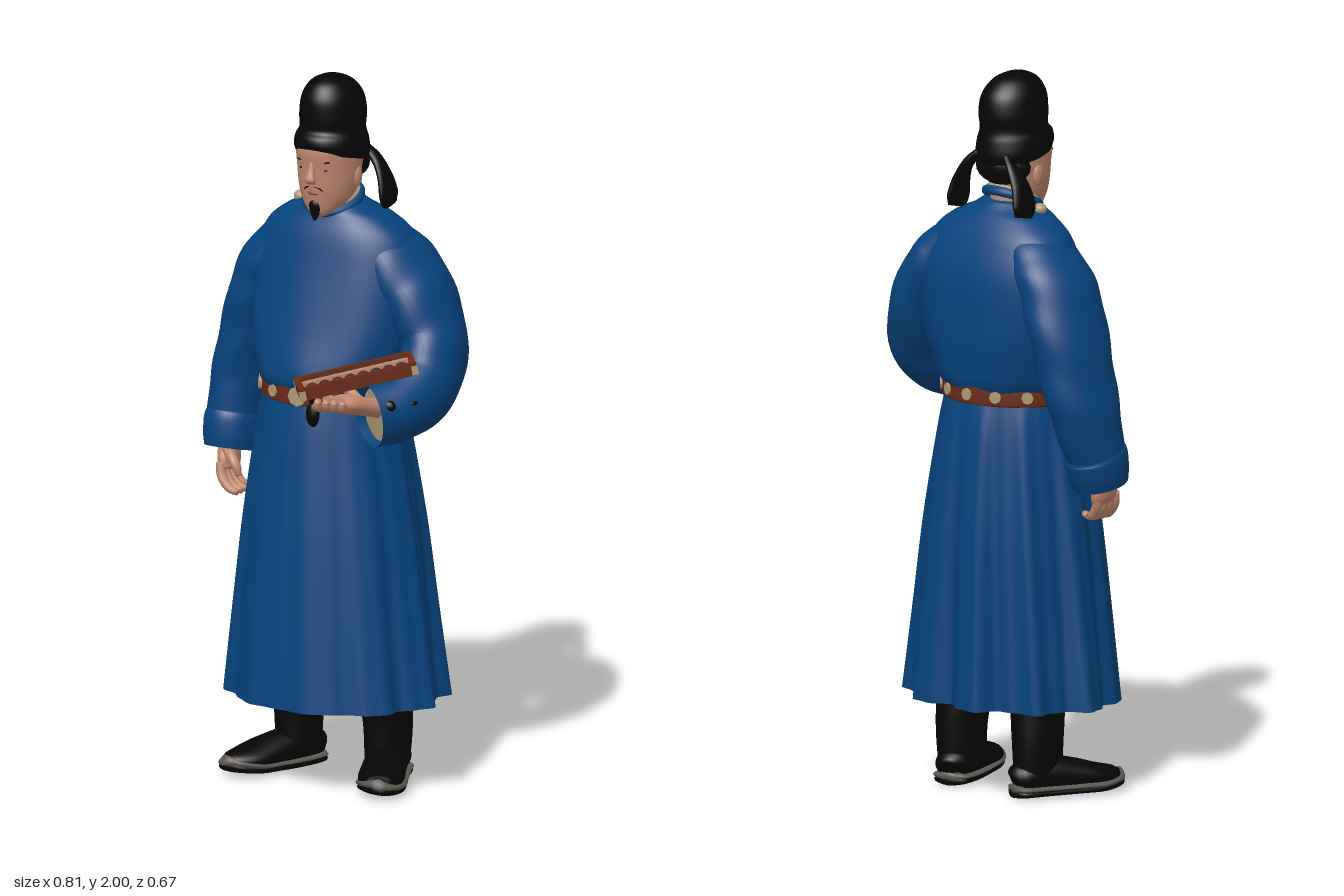
import * as THREE from 'three';

const V = (x, y, z) => new THREE.Vector3(x, y, z);
const UP = V(0, 1, 0);
const DOWN = V(0, -1, 0);
const mat = (name, color, side = THREE.FrontSide) => {
  const m = new THREE.MeshStandardMaterial({ color, side });
  m.name = name;
  return m;
};

// Smooth skin through stations [x, y, z, radiusU, radiusV]; U follows the x axis.
// dir fixes the ring normal, swell(angle, t) scales each ring point.
function loft(stations, { n = 28, steps = 24, dir = null, caps = true, swell = () => 1 } = {}) {
  const path = new THREE.CatmullRomCurve3(stations.map(s => V(s[0], s[1], s[2])), false, 'catmullrom');
  const size = new THREE.CatmullRomCurve3(stations.map(s => V(s[3], s[4], 0)), false, 'catmullrom');
  const pos = [], index = [];
  for (let i = 0; i <= steps; i++) {
    const t = i / steps, c = path.getPoint(t), r = size.getPoint(t);
    const T = dir ? dir.clone() : path.getTangent(t);
    const U = V(1, 0, 0).addScaledVector(T, -T.x).normalize();
    const W = T.clone().cross(U);
    for (let j = 0; j < n; j++) {
      const a = (j / n) * Math.PI * 2, k = swell(a, t);
      const p = c.clone().addScaledVector(U, Math.cos(a) * r.x * k).addScaledVector(W, Math.sin(a) * r.y * k);
      pos.push(p.x, p.y, p.z);
      if (i < steps) {
        const q = i * n + j, s = i * n + (j + 1) % n;
        index.push(q, s, q + n, s, s + n, q + n);
      }
    }
  }
  if (caps) {
    const a = path.getPoint(0), b = path.getPoint(1), base = pos.length / 3, last = steps * n;
    pos.push(a.x, a.y, a.z, b.x, b.y, b.z);
    for (let j = 0; j < n; j++) {
      const k = (j + 1) % n;
      index.push(base, k, j, base + 1, last + j, last + k);
    }
  }
  const g = new THREE.BufferGeometry();
  g.setAttribute('position', new THREE.Float32BufferAttribute(pos, 3));
  g.setIndex(index);
  g.computeVertexNormals();
  return g;
}

const mirror = st => st.map(([x, ...r]) => [-x, ...r]);

export function createModel() {
  const model = new THREE.Group();
  const robe = mat('blue cloth', 0x06437c, THREE.DoubleSide);
  const black = mat('black cloth and hair', 0x050505);
  const skin = mat('skin', 0xc0886e);
  const lip = mat('lips', 0x8e4f42);
  const leather = mat('red brown', 0x6a2a19);
  const brass = mat('pale brass', 0xb09a74);
  const grey = mat('sole grey', 0x5c564e);
  const bead = mat('dark beads', 0x3a322b);
  const wood = mat('light wood', 0xc4866a);

  const add = (name, geo, m, parent = model) => {
    const mesh = new THREE.Mesh(geo, m);
    mesh.name = name;
    parent.add(mesh);
    return mesh;
  };
  const ball = (name, m, x, y, z, sx, sy, sz, parent = model) => {
    const b = add(name, new THREE.SphereGeometry(1, 16, 12), m, parent);
    b.position.set(x, y, z);
    b.scale.set(sx, sy, sz);
    return b;
  };
  const box = (name, m, x, y, z, w, h, d, parent = model) => {
    const b = add(name, new THREE.BoxGeometry(w, h, d), m, parent);
    b.position.set(x, y, z);
    return b;
  };

  // Robe: bodice with a broad squarish back, and pleated skirt
  const bodice = (a, t) => 1 + .012 * (1 - t) * Math.cos(9 * a + 5 * t)
    + .08 * Math.sin(Math.PI * t) * Math.sin(2 * a) ** 2 * (Math.sin(a) > 0 ? 1 : .3);
  add('robeBody', loft([
    [0, 1.12, -.085, .192, .178], [0, 1.155, -.085, .21, .192], [0, 1.2, -.09, .222, .192], [0, 1.3, -.108, .25, .18],
    [0, 1.45, -.125, .255, .157], [0, 1.55, -.122, .222, .128], [0, 1.605, -.115, .16, .1],
    [0, 1.63, -.107, .105, .085], [0, 1.648, -.103, .078, .074]
  ], { n: 48, steps: 48, dir: UP, swell: bodice }), robe);
  const pleat = a => (.68 + .42 * Math.sin(a)) * (Math.cos(10 * a + .97) + .35 * Math.cos(23 * a + 1));
  const skirt = (a, t) => 1 + Math.pow(1 - t, .8) * (.08 * pleat(a) + .04 * Math.max(0, -Math.sin(a)) ** 4);
  add('robeSkirt', loft([
    [.015, .25, -.068, .312, .248], [.01, .5, -.073, .282, .236], [.005, .75, -.08, .252, .222],
    [0, 1, -.085, .213, .198], [0, 1.13, -.085, .192, .176]
  ], { n: 176, steps: 30, dir: UP, caps: false, swell: skirt }), robe);

  // Sleeves
  const wrinkle = (a, t) => 1 + .025 * Math.sin(34 * t + 2.5 * Math.cos(a)) * Math.sin(Math.PI * Math.min(1, t * 1.1));
  const sleeve = { n: 36, steps: 48, caps: false, swell: wrinkle };
  const upper = [[.1, 1.55, -.13, .055, .09], [.17, 1.49, -.135, .078, .12], [.234, 1.4, -.144, .087, .13]];
  add('rightSleeve', loft([...mirror(upper),
    [-.283, 1.25, -.148, .083, .125], [-.315, 1.1, -.135, .08, .11],
    [-.325, .98, -.105, .076, .088], [-.325, .9, -.085, .07, .078]], sleeve), robe);
  add('leftSleeve', loft([...upper,
    [.297, 1.27, -.13, .085, .12], [.317, 1.17, -.06, .083, .11],
    [.297, 1.122, .05, .08, .095], [.25, 1.11, .135, .075, .09]], sleeve), robe);
  add('rightCuff', loft([[-.325, .985, -.106, .076, .088], [-.325, .965, -.1, .081, .093],
    [-.325, .92, -.09, .079, .088], [-.325, .89, -.083, .073, .08]], { caps: false }), robe);
  add('rightCuffLining', loft([[-.325, .95, -.098, .066, .07], [-.325, .905, -.087, .068, .073]]), black);
  add('leftCuffLining', loft([[.285, 1.118, .075, .062, .072], [.262, 1.112, .117, .064, .076]]), brass);
  ball('cuffTie', black, .355, 1.148, .065, .016, .016, .032);
  ball('cuffTie', black, .315, 1.148, .14, .022, .018, .016);

  // Collar sloping to the front, and turned lapel corner
  for (const [name, m, r, y, tube] of [['collar', robe, .074, 1.648, .014], ['innerCollar', brass, .065, 1.66, .011]]) {
    const c = add(name, new THREE.TorusGeometry(r, tube, 10, 40), m);
    c.position.set(0, y, -.09);
    c.rotation.x = Math.PI / 2 + .4;
  }
  ball('lapelCorner', brass, -.112, 1.632, -.1, .02, .016, .018);

  // Belt with plaques and hanging pouch
  add('belt', loft([[0, 1.095, -.085, .198, .182], [0, 1.102, -.085, .204, .187],
    [0, 1.145, -.085, .204, .187], [0, 1.152, -.085, .198, .182]], { n: 64, steps: 9, dir: UP }), leather);
  for (let i = 0; i < 14; i++) {
    const a = (i / 14) * Math.PI * 2, r = i === 0 ? .028 : .017;
    const p = add('beltPlaque', new THREE.CylinderGeometry(r, r, .01, 8), brass);
    p.position.set(Math.sin(a) * .205, 1.123, -.085 + Math.cos(a) * .188);
    p.rotation.set(Math.PI / 2, 0, -Math.atan2(Math.sin(a) / .205, Math.cos(a) / .188));
  }
  box('pouchStrap', black, .055, 1.12, .105, .022, .06, .014);
  ball('pouch', black, .055, 1.08, .112, .02, .034, .014);

  // Head, neck and face
  add('neck', new THREE.CylinderGeometry(.056, .06, .12, 24), skin).position.set(0, 1.65, -.095);
  add('head', loft([
    [0, 1.607, -.028, .014, .014], [0, 1.622, -.04, .042, .048], [0, 1.66, -.058, .07, .076],
    [0, 1.7, -.066, .082, .09], [0, 1.75, -.072, .088, .1], [0, 1.8, -.073, .09, .106], [0, 1.84, -.075, .08, .095]
  ], { n: 36, steps: 30, dir: UP }), skin);
  ball('hair', black, 0, 1.745, -.122, .087, .058, .071);
  add('nose', loft([[0, 1.772, .023, .007, .008], [0, 1.745, .03, .01, .01],
    [0, 1.722, .036, .016, .012], [0, 1.71, .028, .012, .008]], { n: 14, steps: 14, dir: DOWN }), skin);
  ball('mouth', lip, 0, 1.682, .019, .018, .006, .006);
  add('goatee', loft([[0, 1.662, .013, .007, .005], [0, 1.648, .012, .016, .01],
    [0, 1.625, .009, .014, .01], [0, 1.603, .01, .004, .004]], { n: 14, steps: 14, dir: DOWN }), black);
  for (const s of [-1, 1]) {
    ball('ear', skin, s * .084, 1.72, -.078, .01, .03, .018);
    ball('eye', black, s * .034, 1.75, .0165, .011, .003, .003);
    ball('eyebrow', black, s * .036, 1.772, .017, .018, .003, .005).rotation.z = s * .12;
    add('moustache', loft([[s * .004, 1.701, .023, .003, .003], [s * .018, 1.698, .02, .005, .005],
      [s * .032, 1.686, .011, .003, .003]], { n: 10, steps: 10, dir: DOWN }), black);
  }

  // Hat: low brim sloping to the back, tall rounded crown
  const hat = loft([
    [0, 1.77, -.081, .096, .109], [0, 1.795, -.081, .101, .115], [0, 1.825, -.081, .097, .111],
    [0, 1.85, -.085, .088, .1], [0, 1.89, -.087, .089, .104], [0, 1.94, -.084, .081, .098],
    [0, 1.978, -.078, .058, .07], [0, 1.996, -.074, .026, .032], [0, 2, -.073, .002, .002]
  ], { n: 40, steps: 48, dir: UP });
  const hp = hat.attributes.position;
  for (let i = 0; i < hp.count; i++) {
    const fade = Math.max(0, (1.87 - hp.getY(i)) / .1);
    hp.setY(i, hp.getY(i) + .24 * fade * (hp.getZ(i) + .083));
  }
  hat.computeVertexNormals();
  add('hat', hat, black);
  const tail = [[.05, 1.78, -.17, .012, .014], [.085, 1.745, -.178, .013, .022], [.112, 1.7, -.176, .014, .034],
    [.124, 1.65, -.176, .015, .043], [.125, 1.62, -.182, .008, .034]];
  add('leftHatTail', loft(tail), black);
  add('rightHatTail', loft(mirror(tail)), black);

  // Right hand hanging, fingers curled inward
  const finger = (name, st, parent) => add(name, loft(st, { n: 10, steps: 12 }), skin, parent);
  const rightHand = new THREE.Group();
  rightHand.name = 'rightHand';
  rightHand.position.z = -.052;
  model.add(rightHand);
  add('rightPalm', loft([[-.322, .95, -.035, .026, .032], [-.325, .905, -.025, .028, .036],
    [-.322, .86, -.015, .026, .046], [-.312, .835, -.01, .016, .04]]), skin, rightHand);
  for (let i = 0; i < 4; i++) {
    const z = -.045 + i * .023;
    finger('rightFinger', [[-.325, .86, z, .013, .013], [-.318, .825, z + .006, .014, .014],
      [-.292, .795, z + .012, .013, .013], [-.262, .785 + (i === 0 ? .012 : 0), z + .014, .009, .009]], rightHand);
  }
  finger('rightThumb', [[-.315, .9, .01, .014, .014], [-.285, .885, .035, .015, .015],
    [-.262, .86, .045, .013, .013], [-.254, .835, .045, .008, .008]], rightHand);

  // Left hand, palm up under the counting frame
  add('leftPalm', loft([[.27, 1.125, .09, .03, .03], [.252, 1.14, .15, .035, .026],
    [.225, 1.158, .21, .048, .028], [.21, 1.165, .24, .042, .02]]), skin);
  for (let i = 0; i < 4; i++) {
    const x = .165 + i * .023, z = .262 - i * .006;
    finger('leftFinger', [[x + .014, 1.15, z - .04, .014, .014], [x + .01, 1.155, z, .014, .014],
      [x + .016, 1.165, z + .032, .013, .013], [x + .022, 1.185, z + .04, .009, .009]], model);
  }
  finger('leftThumb', [[.235, 1.15, .15, .014, .014], [.2, 1.17, .145, .015, .015],
    [.175, 1.195, .155, .013, .013], [.165, 1.21, .17, .008, .008]], model);

  // Counting frame with two rows of beads
  const frame = new THREE.Group();
  frame.name = 'countingFrame';
  frame.position.set(.237, 1.233, .183);
  frame.rotation.set(0, .665, .205);
  model.add(frame);
  box('frameBase', leather, 0, -.012, 0, .32, .012, .118, frame);
  box('frameDivider', wood, 0, .005, 0, .3, .024, .017, frame);
  for (const s of [-1, 1]) {
    box('frameLongRail', leather, 0, 0, s * .056, .33, .036, .013, frame);
    box('frameEndRail', leather, s * .157, 0, 0, .016, .036, .125, frame);
    for (const e of [-1, 1]) box('cornerPlate', brass, s * .158, -.004, e * .06, .018, .026, .008, frame);
    for (let i = 0; i < 8; i++) ball('bead', bead, (i - 3.5) * .036, .004, s * .028, .0175, .014, .0185, frame);
  }
  for (let i = 0; i < 8; i++) box('rod', bead, (i - 3.5) * .036, .004, 0, .004, .004, .11, frame);

  // Boots with upturned toes pointing outward, grey welt around a dark sole
  const shaft = [[.14, .5, -.13, .07, .078], [.14, .25, -.138, .07, .08], [.143, .15, -.142, .064, .078], [.142, .05, -.14, .058, .074]];
  const shoe = [[.122, .048, -.215, .02, .018], [.128, .055, -.2, .048, .04], [.148, .062, -.135, .058, .052],
    [.18, .056, -.06, .062, .045], [.212, .046, .01, .064, .034], [.237, .046, .06, .042, .022], [.246, .052, .078, .012, .008]];
  const sole = [[.121, .014, -.22, .022, .012], [.128, .014, -.2, .052, .014], [.148, .014, -.135, .06, .014],
    [.18, .015, -.06, .064, .014], [.213, .018, .012, .066, .015], [.239, .028, .064, .045, .015], [.248, .038, .084, .013, .01]];
  const welt = sole.map(([x, y, z, u], i) => [x, y + .012, z, u * 1.06, i < 4 ? .01 : .015]);
  for (const [side, f] of [['left', s => s], ['right', mirror]]) {
    add(side + 'BootShaft', loft(f(shaft)), black);
    add(side + 'Shoe', loft(f(shoe)), black);
    add(side + 'Sole', loft(f(sole)), black);
    add(side + 'Welt', loft(f(welt)), grey);
  }
  return model;
}
